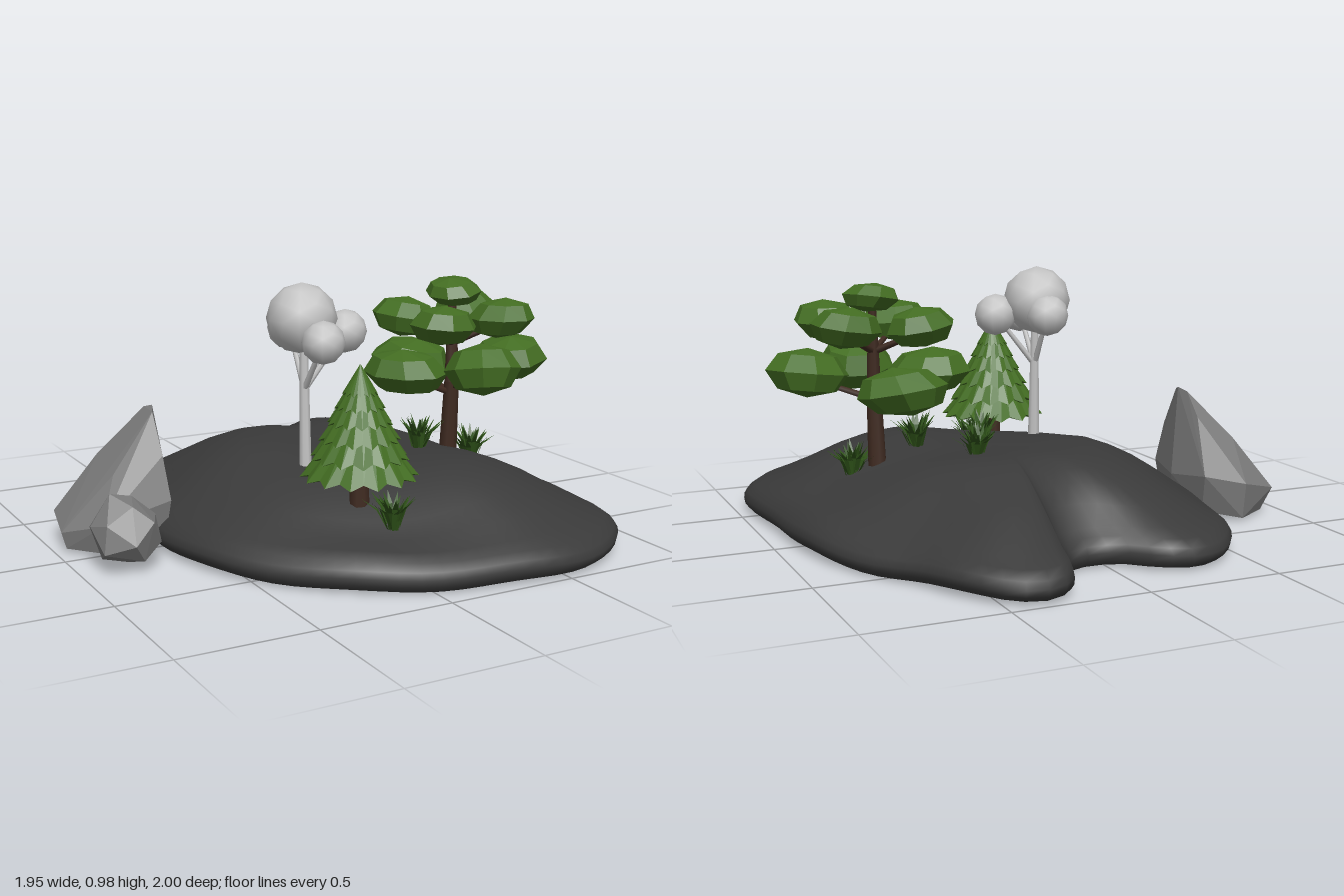
import * as THREE from 'three';
import { mergeGeometries } from 'three/addons/utils/BufferGeometryUtils.js';
import { ConvexGeometry } from 'three/addons/geometries/ConvexGeometry.js';

const V = (x, y, z) => new THREE.Vector3(x, y, z);

function material(name, color, options = {}) {
  const m = new THREE.MeshStandardMaterial({ color, ...options });
  m.name = name;
  return m;
}

// Faceted copy of a geometry
function facet(geometry) {
  const g = geometry.index ? geometry.toNonIndexed() : geometry;
  g.computeVertexNormals();
  return g;
}

// Tapered round limb between two points
function limb(a, b, r0, r1, sides = 8) {
  const d = b.clone().sub(a);
  const g = new THREE.CylinderGeometry(r1, r0, d.length(), sides);
  g.applyQuaternion(new THREE.Quaternion().setFromUnitVectors(V(0, 1, 0), d.normalize()));
  const c = a.clone().add(b).multiplyScalar(0.5);
  return g.translate(c.x, c.y, c.z);
}

// Hollow mound: rings from the curled lip up to the crown, rounding off as they shrink
function islandGeometry() {
  const shore = [
    [-0.39, -0.82], [-0.53, -0.65], [-0.605, -0.42], [-0.645, -0.185], [-0.66, 0.05], [-0.61, 0.32],
    [-0.5, 0.54], [-0.35, 0.715], [-0.18, 0.845], [0, 0.925], [0.24, 0.975], [0.495, 0.997],
    [0.69, 0.945], [0.855, 0.82], [0.955, 0.66], [0.965, 0.45], [0.945, 0.24], [0.93, -0.05],
    [0.89, -0.265], [0.81, -0.45], [0.69, -0.635], [0.6, -0.82], [0.48, -0.96], [0.36, -1],
    [0.255, -0.945], [0.21, -0.82], [0.16, -0.725], [0.065, -0.7], [-0.04, -0.735], [-0.14, -0.825], [-0.25, -0.865],
  ].map(([x, z]) => V(x, 0, z));
  const rings = [
    [0.9, 0.06], [0.91, 0.038], [0.935, 0.024], [0.97, 0.028], [0.995, 0.05], [1, 0.075], [0.985, 0.1],
    [0.95, 0.125], [0.9, 0.15], [0.8, 0.195], [0.7, 0.243], [0.6, 0.283], [0.5, 0.315], [0.38, 0.328],
    [0.25, 0.322], [0.12, 0.314], [0.001, 0.312],
  ];
  // hills and hollows: x, z, height, spread
  const bumps = [
    [-0.08, 0.56, -0.045, 0.22], [0.35, 0.48, 0.022, 0.18], [-0.2, -0.25, 0.03, 0.2],
    [0.4, -0.76, 0.035, 0.13], [0.07, -0.5, 0.02, 0.15], [0.65, 0.1, -0.035, 0.2],
  ];
  const n = 80, cx = 0.15, cz = 0.1, pos = [], idx = [];
  const outline = new THREE.CatmullRomCurve3(shore, true).getSpacedPoints(n).slice(0, n);
  rings.forEach(([s, y], i) => {
    outline.forEach((p) => {
      const dx = p.x - cx, dz = p.z - cz;
      const k = i < 8 ? s : s * THREE.MathUtils.lerp(0.85 / Math.hypot(dx, dz), 1, s);
      const x = cx + dx * k, z = cz + dz * k;
      const wave = 0.005 * Math.sin(x * 9 + z * 5) + 0.004 * Math.sin(z * 12 - x * 4 + 1);
      const rise = bumps.reduce((t, [bx, bz, h, w]) => t + h * Math.exp(-((x - bx) ** 2 + (z - bz) ** 2) / (2 * w * w)), 0);
      pos.push(x, y + wave + (i > 8 ? rise : 0), z);
    });
    if (!i) return;
    for (let j = 0; j < n; j++) {
      const k = (j + 1) % n, a = (i - 1) * n, b = i * n;
      idx.push(a + j, a + k, b + k, a + j, b + k, b + j);
    }
  });
  const g = new THREE.BufferGeometry();
  g.setAttribute('position', new THREE.Float32BufferAttribute(pos, 3));
  g.setIndex(idx);
  g.computeVertexNormals();
  return g;
}

// Cone tier whose hem alternates between long and short points
function pineTier(y0, y1, r0, r1, turn) {
  const sides = 28, h = y1 - y0;
  const g = new THREE.CylinderGeometry(r1, r0, h, sides);
  const p = g.attributes.position;
  for (let i = 0; i < p.count; i++) {
    if (p.getY(i) > 0 || Math.hypot(p.getX(i), p.getZ(i)) < 0.001) continue;
    const k = Math.round(Math.atan2(p.getZ(i), p.getX(i)) / (Math.PI * 2 / sides));
    if (k % 2) p.setXYZ(i, p.getX(i) * 0.88, p.getY(i) + h * 0.12, p.getZ(i) * 0.88);
  }
  return facet(g.rotateY(turn).translate(0, (y0 + y1) / 2, 0));
}

// Tuft of bent, pointed blades
function tuftGeometry(seed, blades, size) {
  let s = seed;
  const rnd = () => (s = (s * 16807) % 2147483647) / 2147483647;
  const pos = [];
  for (let i = 0; i < blades; i++) {
    const a = i * 2.4 + rnd() * 0.5, c = Math.cos(a), d = Math.sin(a);
    const reach = size * (0.2 + 0.6 * rnd()), h = size * (1.25 - 0.45 * reach / size - 0.35 * rnd()), w = size * 0.085;
    const at = (r, y, side) => [c * r - d * side, y, d * r + c * side];
    const r0 = size * 0.2 * rnd(), rm = r0 + reach * 0.4;
    const bl = at(r0, -0.015, -w * 0.6), br = at(r0, -0.015, w * 0.6);
    const ml = at(rm, h * 0.6, -w), mr = at(rm, h * 0.6, w), tip = at(r0 + reach, h, 0);
    pos.push(...bl, ...br, ...mr, ...bl, ...mr, ...ml, ...ml, ...mr, ...tip);
  }
  const g = new THREE.BufferGeometry();
  g.setAttribute('position', new THREE.Float32BufferAttribute(pos, 3));
  g.computeVertexNormals();
  return g;
}

export function createModel() {
  const model = new THREE.Group();
  model.name = 'islandScene';
  const soil = material('dark soil', 0x3a3a3a, { side: THREE.DoubleSide });
  const stone = material('grey stone', 0x7c7c7c);
  const leaf = material('leaf green', 0x436d22);
  const bark = material('brown bark', 0x3f2a20);
  const pale = material('pale grey', 0xc4c4c4);
  const blade = material('grass green', 0x2f5319, { side: THREE.DoubleSide });

  const add = (name, geometry, mat, parent = model) => {
    const m = new THREE.Mesh(geometry, mat);
    m.name = name;
    parent.add(m);
    return m;
  };
  const group = (name) => {
    const g = new THREE.Group();
    g.name = name;
    model.add(g);
    return g;
  };

  add('island', islandGeometry(), soil);

  // Rocks
  const rock = (name, pts) => add(name, facet(new ConvexGeometry(pts.map((p) => V(...p)))), stone);
  rock('largeRock', [
    [-0.9, 0.03, -0.28], [-0.76, 0.03, -0.37], [-0.63, 0.05, -0.28], [-0.59, 0.06, -0.1], [-0.62, 0.04, 0.02],
    [-0.86, 0.03, 0.02], [-0.96, 0.03, -0.1], [-0.975, 0.09, -0.11], [-0.94, 0.12, -0.3], [-0.76, 0.17, -0.39],
    [-0.61, 0.2, -0.33], [-0.565, 0.18, -0.15], [-0.6, 0.2, 0.04], [-0.87, 0.14, 0.045], [-0.77, 0.33, -0.27],
    [-0.79, 0.3, -0.05], [-0.62, 0.42, -0.25], [-0.595, 0.525, -0.14], [-0.615, 0.51, -0.09], [-0.61, 0.512, -0.185], [-0.61, 0.36, -0.01],
  ]);
  rock('smallRock', [
    [-0.875, 0.29, 0.14], [-0.785, 0.265, 0.12], [-0.82, 0.255, 0.22], [-0.7, 0.19, 0.13], [-0.71, 0.11, 0.21],
    [-0.755, 0.2, 0.26], [-0.835, 0.05, 0.2], [-0.835, 0.13, 0.29], [-0.935, 0.1, 0.24], [-0.95, 0.18, 0.14],
    [-0.93, 0.16, 0.075], [-0.82, 0.2, 0.06], [-0.74, 0.12, 0.07], [-0.87, 0.06, 0.1], [-0.92, 0.065, 0.17],
    [-0.75, 0.07, 0.17], [-0.79, 0.06, 0.25], [-0.92, 0.2, 0.23],
  ]);

  // Pine with jagged tiers
  const pine = group('pineTree');
  pine.position.set(-0.08, 0, 0.52);
  add('pineTrunk', limb(V(0, 0.235, 0), V(0, 0.4, 0), 0.038, 0.03), bark, pine);
  const tiers = [
    [0.345, 0.48, 0.212, 0.1], [0.41, 0.55, 0.177, 0.08], [0.475, 0.6, 0.147, 0.06],
    [0.535, 0.65, 0.117, 0.045], [0.59, 0.69, 0.09, 0.03], [0.64, 0.745, 0.064, 0.002],
  ].map((t, i) => pineTier(...t, i * 0.22));
  add('pineFoliage', mergeGeometries(tiers), leaf, pine);

  // Pale tree with round crowns
  const paleTree = group('paleTree');
  const crowns = [[-0.122, 0.86, 0.165, 0.132], [0.04, 0.805, 0.2, 0.082], [-0.122, 0.795, 0.33, 0.08], [-0.12, 0.81, 0.06, 0.082]];
  add('paleTrunk', limb(V(-0.125, 0.29, 0.2), V(-0.122, 0.8, 0.18), 0.024, 0.015), pale, paleTree);
  crowns.forEach(([x, y, z, r], i) => {
    add('paleCrown', new THREE.IcosahedronGeometry(r, 1), pale, paleTree).position.set(x, y, z);
    if (i) add('paleBranch', limb(V(-0.124, 0.6, 0.19), V(x, y, z), 0.012, 0.008, 6), pale, paleTree);
  });

  // Spreading tree with flattened leaf clusters: x, y, z, radius, half height, branch start
  const tree = group('spreadingTree');
  const mid = V(0.57, 0.55, 0.125), top = V(0.578, 0.9, 0.105);
  add('treeTrunkLower', limb(V(0.565, 0.25, 0.115), mid, 0.036, 0.029), bark, tree);
  add('treeTrunkUpper', limb(mid, top, 0.029, 0.014), bark, tree);
  const clusters = [
    [0.583, 0.905, 0.105, 0.112, 0.055, 0.86],
    [0.44, 0.8, 0.25, 0.132, 0.078, 0.7], [0.705, 0.81, 0.255, 0.132, 0.078, 0.7],
    [0.43, 0.8, -0.01, 0.132, 0.078, 0.7], [0.715, 0.81, -0.01, 0.132, 0.078, 0.7],
    [0.345, 0.61, 0.14, 0.165, 0.09, 0.5], [0.815, 0.63, 0.16, 0.158, 0.09, 0.52],
    [0.555, 0.59, -0.16, 0.168, 0.09, 0.5], [0.575, 0.63, 0.325, 0.148, 0.1, 0.52],
  ];
  clusters.forEach(([x, y, z, r, h, from], i) => {
    const out = V(x - 0.575, 0, z - 0.12);
    const g = new THREE.SphereGeometry(1, 8, 4).rotateZ(0.2).rotateY(i * 1.3).scale(r, h, r);
    // tip the cluster so its outer edge lifts
    g.applyMatrix4(new THREE.Matrix4().makeRotationAxis(V(out.z, 0, -out.x).normalize(), -0.12));
    add('leafCluster', facet(g), leaf, tree).position.set(x, y, z);
    add('treeBranch', limb(V(0.572, from, 0.118), V(x, y - 0.02, z), 0.014, 0.009, 6), bark, tree);
  });

  // Grass tufts: x, y, z, size
  [
    [-0.035, 0.2, 0.68, 0.115], [0.135, 0.315, 0.13, 0.12], [0.24, 0.315, -0.09, 0.115],
    [0.385, 0.315, 0.18, 0.12], [0.655, 0.235, 0.14, 0.12],
  ].forEach(([x, y, z, size], i) => {
    add('grassTuft', tuftGeometry(71 + i * 977, 36, size), blade).position.set(x, y, z);
  });

  return model;
}
